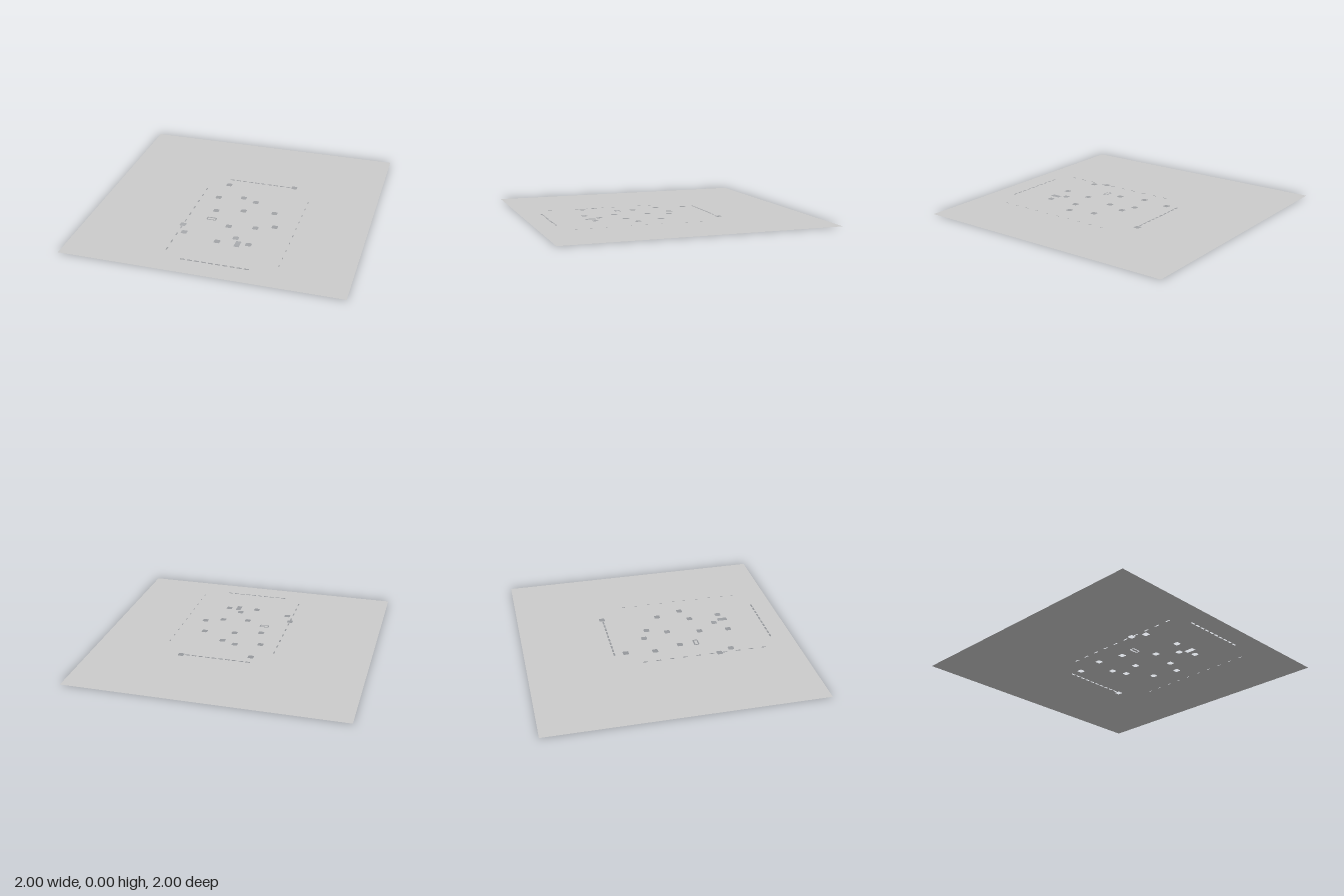
import * as THREE from 'three';

// Closed outline of a rectangle with cut corners, centred on (x, z).
function outline(x, z, w, d, cut, Type = THREE.Path) {
  const a = w / 2, b = d / 2, y = -z;
  const pts = [
    [-a + cut, -b], [a - cut, -b], [a, -b + cut], [a, b - cut],
    [a - cut, b], [-a + cut, b], [-a, b - cut], [-a, -b + cut],
  ].map(([u, v]) => new THREE.Vector2(x + u, y + v));
  return new Type(cut > 0 ? pts : pts.filter((p, i) => i % 2 === 0));
}

// Narrow pointed slit running along z.
function slit(x, z, w, d) {
  return new THREE.Path([[0, -d / 2], [w / 2, 0], [0, d / 2], [-w / 2, 0]]
    .map(([u, v]) => new THREE.Vector2(x + u, v - z)));
}

export function createModel() {
  const model = new THREE.Group();
  model.name = 'perforatedSheet';
  const material = new THREE.MeshStandardMaterial({ color: 0xcccccc, side: THREE.DoubleSide });

  const addFlat = (name, shape) => {
    const geometry = new THREE.ShapeGeometry(shape);
    geometry.rotateX(-Math.PI / 2);
    const mesh = new THREE.Mesh(geometry, material);
    mesh.name = name;
    model.add(mesh);
  };

  const sheet = new THREE.Shape([[-1, -1], [1, -1], [1, 1], [-1, 1]]
    .map(([x, y]) => new THREE.Vector2(x, y)));

  // Dashed rows of slots around a rectangle
  for (let i = 0; i < 10; i++) {
    const x = -0.152 + i * 0.05, z = -0.152 + i * 0.0995;
    sheet.holes.push(outline(x, -0.353, 0.036, 0.013, 0.003));
    sheet.holes.push(outline(x, 0.842, 0.036, 0.013, 0.003));
    sheet.holes.push(outline(-0.3, z, 0.01, 0.036, 0.002));
    sheet.holes.push(slit(0.497, z, 0.009, 0.036));
  }

  // Scattered square holes
  const spots = [
    [0.345, -0.357], [-0.153, -0.267], [0.013, -0.094], [-0.173, -0.051],
    [0.119, -0.053], [0.066, 0.096], [0.295, 0.07], [-0.13, 0.147],
    [0.215, 0.31], [0.345, 0.26], [0.024, 0.34], [-0.3, 0.404],
    [-0.258, 0.503], [0.119, 0.481], [0.005, 0.56], [0.227, 0.54],
  ];
  for (const [x, z] of spots) sheet.holes.push(outline(x, z, 0.043, 0.043, 0.006));

  // Long hole, and a wide hole with a loose island inside it
  sheet.holes.push(outline(0.152, 0.555, 0.038, 0.075, 0.002));
  sheet.holes.push(outline(-0.126, 0.27, 0.072, 0.04, 0.006));

  addFlat('sheet', sheet);
  addFlat('island', outline(-0.126, 0.271, 0.054, 0.02, 0, THREE.Shape));
  return model;
}
